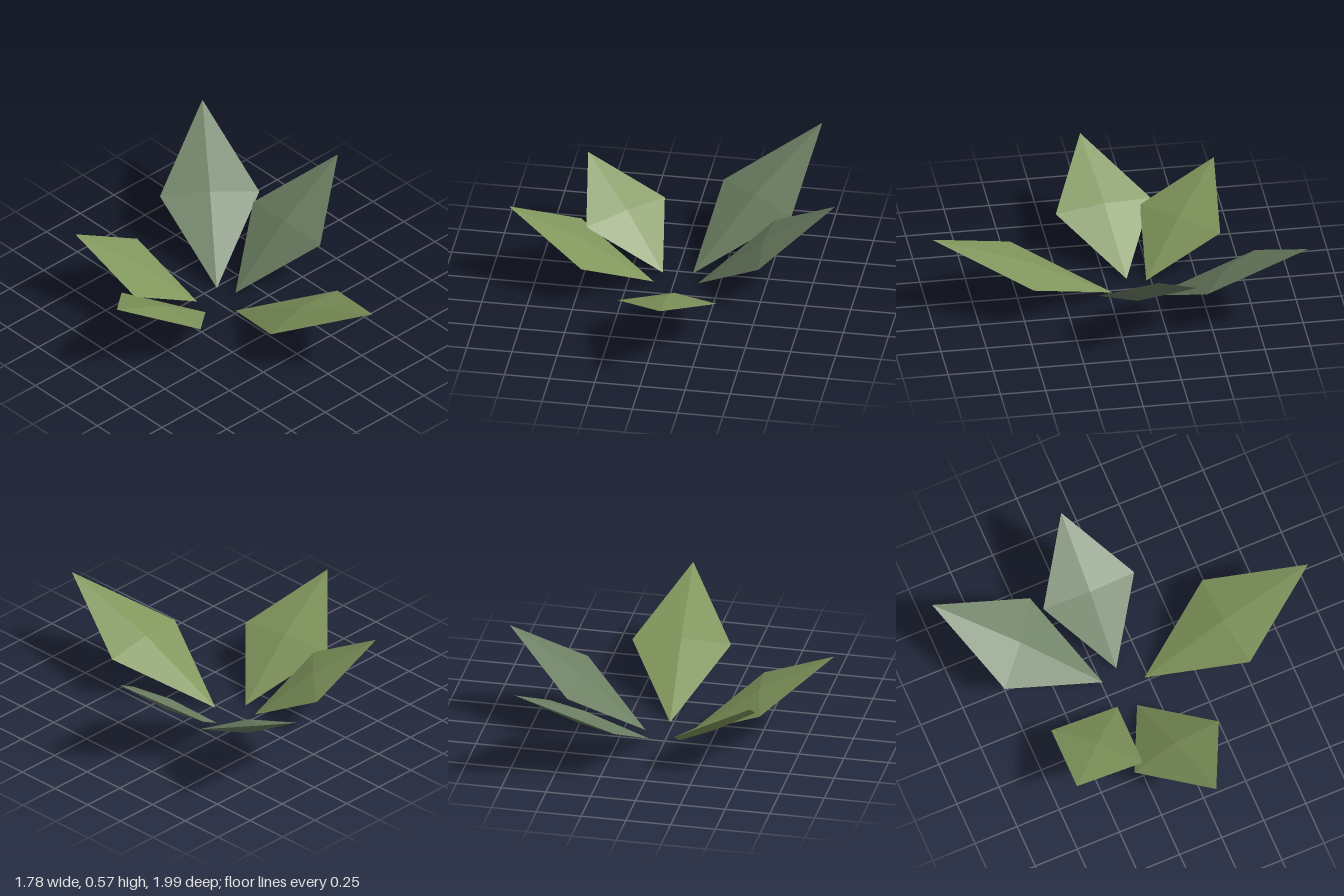
import * as THREE from 'three';

export function createModel() {
  const group = new THREE.Group();
  const leafGreen = new THREE.MeshStandardMaterial({ color: 0x80965c, flatShading: true });
  leafGreen.name = 'leafGreen';
  const greyGreen = new THREE.MeshStandardMaterial({ color: 0x6c7f62, flatShading: true });
  greyGreen.name = 'greyGreen';

  // each leaf: base point, tip point, and half-width vector across the middle
  const leaves = [
    ['frontLeaf', leafGreen, [0.02, 0, -0.02], [0.11, 0.48, 0.99], [0.27, 0, -0.025]],
    ['leftLeaf', greyGreen, [0.13, 0, -0.14], [0.89, 0.56, -0.14], [0, 0, 0.27]],
    ['backLeftLeaf', greyGreen, [0.085, 0, -0.24], [0.675, 0.57, -1.0], [0.215, 0, 0.167]],
    ['backRightLeaf', leafGreen, [-0.077, 0, -0.223], [-0.566, 0.455, -0.673], [-0.185, 0, 0.193]],
    ['rightLeaf', leafGreen, [-0.11, 0, -0.12], [-0.89, 0.48, 0.015], [0.045, 0, 0.27]],
  ];

  for (const [name, material, base, tip, side] of leaves) {
    const a = new THREE.Vector3(...base);
    const b = new THREE.Vector3(...tip);
    const width = new THREE.Vector3(...side);
    const length = b.clone().sub(a).multiplyScalar(0.5);
    // slim ridge on both faces, square to the leaf
    const ridge = length.clone().cross(width).setLength(length.length() * 0.066);
    const centre = a.add(b).multiplyScalar(0.5);

    // flattened octahedron stretched along the leaf's own axes
    const geometry = new THREE.OctahedronGeometry(1);
    geometry.applyMatrix4(new THREE.Matrix4().makeBasis(width, ridge, length).setPosition(centre));
    geometry.computeVertexNormals();
    const leaf = new THREE.Mesh(geometry, material);
    leaf.name = name;
    group.add(leaf);
  }
  return group;
}
